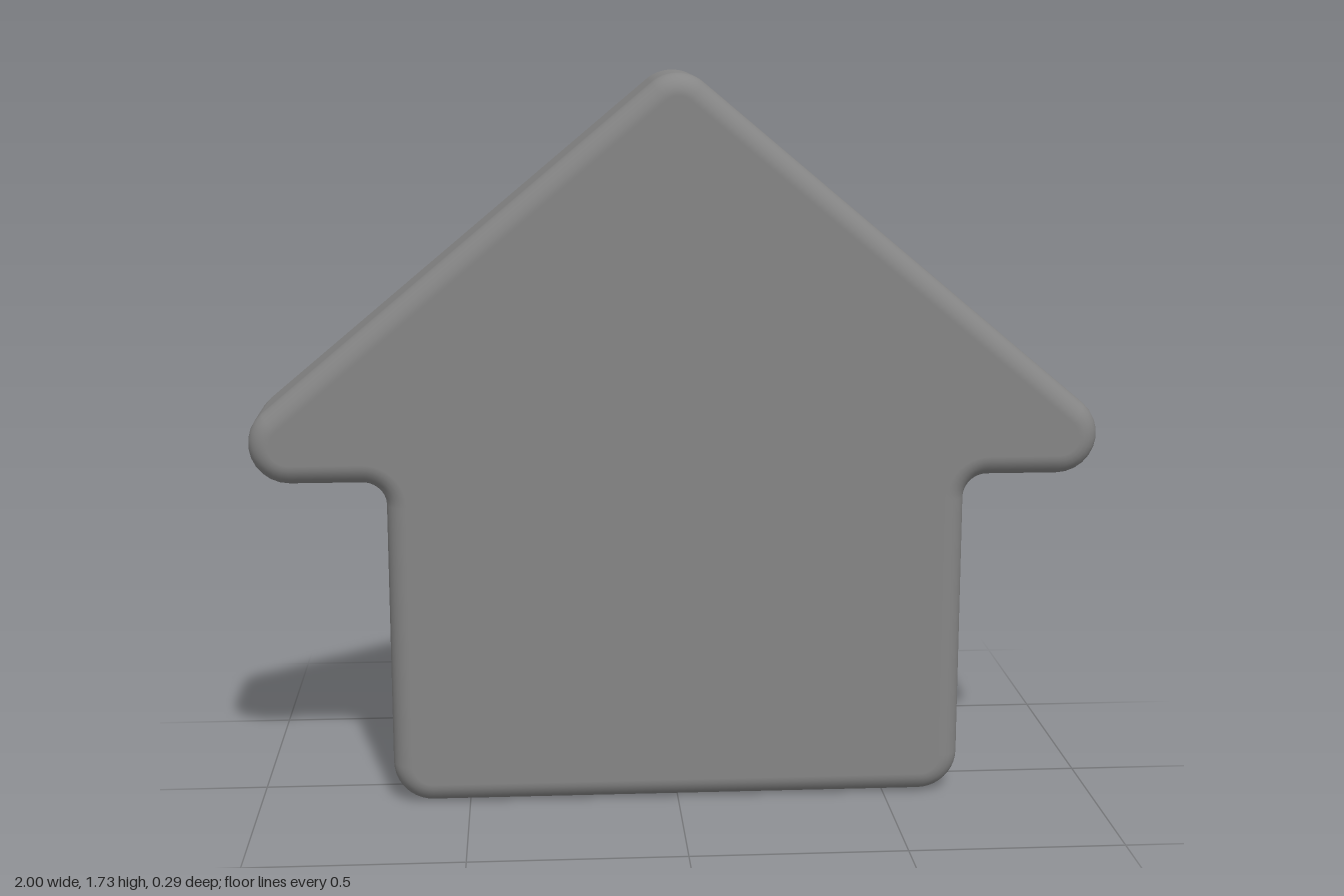
import * as THREE from 'three';

const HALF_DEPTH = 0.145, BEVEL = 0.05, BEVEL_STEPS = 6, ARC_STEPS = 10;

// Rounded corners of the right half, bottom to peak: centre x, y, radius, start and end angle
const ROOF = 50.2;
const CORNERS = [
  [0.588, 0.095, 0.095, -90, 0],
  [0.738, 0.73, 0.055, 180, 90], // inner corner under the eave
  [0.905, 0.88, 0.095, -90, ROOF],
  [0, 1.635, 0.095, ROOF, 90],
];

// Outline points with outward normals, counter-clockwise
function houseOutline() {
  const half = [];
  for (const [cx, cy, r, a0, a1] of CORNERS) {
    const side = a1 > a0 ? 1 : -1;
    for (let i = 0; i <= ARC_STEPS; i++) {
      const a = THREE.MathUtils.degToRad(a0 + (a1 - a0) * i / ARC_STEPS);
      const c = Math.cos(a), s = Math.sin(a);
      half.push({ x: cx + r * c, y: cy + r * s, nx: side * c, ny: side * s });
    }
  }
  const mirrored = half.slice(0, -1).reverse().map(p => ({ ...p, x: -p.x, nx: -p.nx }));
  return [...half, ...mirrored];
}

// Sweeps the outline through the depth with rounded front and back edges
function roundedSlab(outline) {
  const rings = [];
  for (const dir of [-1, 1]) {
    for (let k = 0; k <= BEVEL_STEPS; k++) {
      const t = (dir < 0 ? BEVEL_STEPS - k : k) / BEVEL_STEPS * Math.PI / 2;
      rings.push({
        inset: BEVEL * (1 - Math.cos(t)),
        z: dir * (HALF_DEPTH - BEVEL + BEVEL * Math.sin(t)),
        nr: Math.cos(t), nz: dir * Math.sin(t),
      });
    }
  }
  const pos = [], nor = [], idx = [], n = outline.length;
  for (const { inset, z, nr, nz } of rings) {
    for (const p of outline) {
      pos.push(p.x - p.nx * inset, p.y - p.ny * inset, z);
      nor.push(p.nx * nr, p.ny * nr, nz);
    }
  }
  for (let j = 0; j < rings.length - 1; j++) {
    for (let i = 0; i < n; i++) {
      const a = j * n + i, b = j * n + (i + 1) % n;
      idx.push(a, b, b + n, a, b + n, a + n);
    }
  }
  // Flat front and back faces
  const rim = outline.map(p => new THREE.Vector2(p.x - p.nx * BEVEL, p.y - p.ny * BEVEL));
  const last = (rings.length - 1) * n;
  for (const [a, b, c] of THREE.ShapeUtils.triangulateShape(rim, [])) {
    idx.push(last + a, last + b, last + c, c, b, a);
  }
  const geo = new THREE.BufferGeometry();
  geo.setAttribute('position', new THREE.Float32BufferAttribute(pos, 3));
  geo.setAttribute('normal', new THREE.Float32BufferAttribute(nor, 3));
  geo.setIndex(idx);
  return geo;
}

export function createModel() {
  const group = new THREE.Group();
  group.name = 'houseIcon';
  const house = new THREE.Mesh(
    roundedSlab(houseOutline()),
    new THREE.MeshStandardMaterial({ color: 0x868686 }),
  );
  house.name = 'houseBody';
  group.add(house);
  return group;
}
